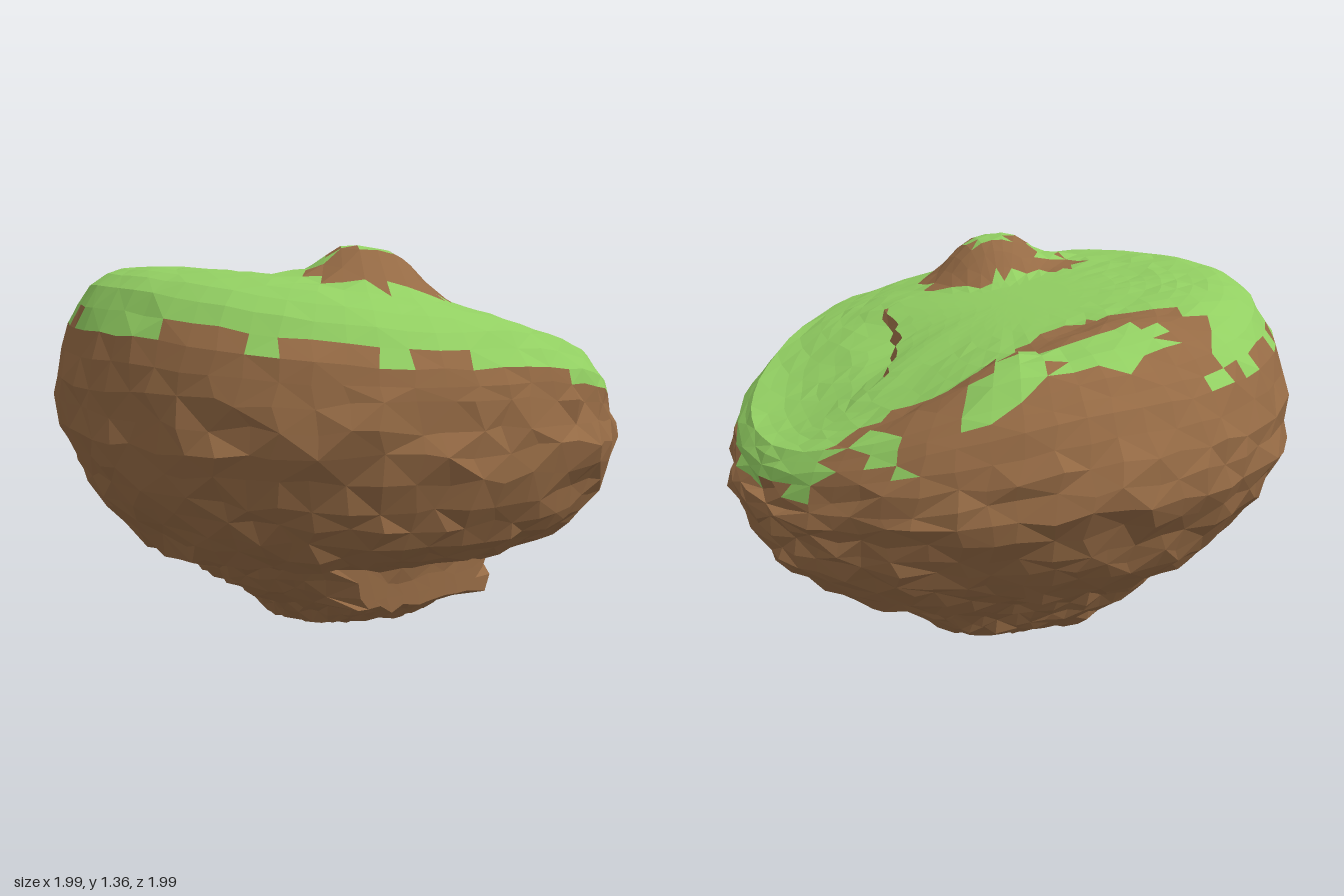
import * as THREE from 'three';

const { lerp, clamp, smoothstep } = THREE.MathUtils;
const SEG = 60, SUB = 2, TOP = 16, CRACK_RING = 9;

// Side profiles [radius, height], from the underside up to the rim, for four directions
const EAST = [[0, 0], [.15, .012], [.34, .05], [.43, .12], [.5, .22], [.74, .28], [.86, .39], [.95, .49], [.98, .58], [.995, .65], [.97, .71], [.955, .78], [.91, .835]];
const WEST = [[0, 0], [.15, .012], [.27, .05], [.33, .13], [.5, .21], [.57, .3], [.72, .34], [.84, .48], [.92, .6], [.98, .75], [.99, .92], [.95, 1.09], [.87, 1.225]];
const FRONT = [[0, 0], [.15, .012], [.33, .07], [.44, .15], [.51, .23], [.6, .33], [.75, .37], [.87, .45], [.94, .58], [.99, .75], [.975, .9], [.95, 1], [.87, 1.1]];
const BACK = [[0, 0], [.15, .012], [.38, .1], [.5, .18], [.56, .25], [.64, .34], [.74, .4], [.84, .5], [.91, .62], [.99, .78], [.97, .92], [.9, 1.06], [.82, 1.14]];
const LAST = EAST.length - 1;
const SIDE = LAST * SUB;

// Hills on the plateau: x, z, height, top radius, base radius
const HILLS = [
  [-.14, .43, .125, .06, .27], [-.32, .37, .03, .04, .13],
  [-.08, -.68, .03, .1, .25], [.1, -.68, .03, .08, .25],
  [.34, -.66, .085, .07, .22], [.52, -.6, .055, .05, .2], [.68, -.53, .03, .05, .18],
];

// Bare earth outlines on the plateau (x, z)
const BARE = [
  [[-.28, -1.1], [-.28, -.88], [-.42, -.62], [-.33, -.5], [-.1, -.44], [.15, -.41], [.3, -.48], [.45, -.45], [.55, -.36], [.73, -.33], [.84, -.42], [1.1, -.5], [.6, -1.1]],
  [[-.42, .22], [-.33, .17], [-.2, .22], [0, .23], [.08, .33], [.13, .42], [.08, .56], [-.05, .64], [-.22, .64], [-.36, .52]],
];
// Grass patches inside the bare earth: x, z, radius x, radius z, turn
const PATCHES = [
  [-.14, .43, .08, .08, 0], [-.32, .36, .06, .08, 0], [0, -.7, .2, .1, 0],
  [.35, -.69, .15, .08, 0], [.29, -.54, .17, .04, .6], [.7, -.55, .06, .13, 0],
];

const hash = (i, j, k) => {
  const s = Math.sin(i * 127.1 + (j % SEG) * 311.7 + k * 74.7) * 43758.5453;
  return (s - Math.floor(s)) * 2 - 1;
};

function inside(poly, x, z) {
  let hit = false;
  poly.forEach(([ax, az], i) => {
    const [bx, bz] = poly[(i + 1) % poly.length];
    if ((az > z) !== (bz > z) && x < ax + (bx - ax) * (z - az) / (bz - az)) hit = !hit;
  });
  return hit;
}

// Blend the four profiles at profile position k and angle a
function profile(k, a) {
  const i = Math.min(Math.floor(k), LAST - 1), f = k - i;
  const c = Math.cos(a), s = Math.sin(a);
  const parts = [[c > 0 ? EAST : WEST, c * c], [s > 0 ? FRONT : BACK, s * s]];
  return [0, 1].map(n => parts.reduce((sum, [p, w]) => sum + w * lerp(p[i][n], p[i + 1][n], f), 0));
}

// Position along the crack: 0 to 1 between its two ends
const crackPosition = a => (Math.atan2(Math.sin(a), Math.cos(a)) + .2) / 1.15;

function sidePoint(i, j, a) {
  const k = i / SUB;
  const [r, y] = profile(k, a);
  const rough = k > LAST - 2 ? .006 : .015 * Math.min(1, k / 3);
  const ledge = .4 * Math.sin(a * 5 + k * 2.3) + .3 * Math.sin(a * 9 - k * 3.1);
  const angle = a + hash(i, j, 3) * rough * 1.8;
  const R = r + rough * (hash(i, j, 1) + (k < LAST - 2 ? ledge : 0));
  const x = R * Math.cos(angle), Y = y + hash(i, j, 2) * rough;
  let z = R * Math.sin(angle);
  // Upright boulder face under the front
  if (Math.abs(x) < .28 && z > .3 && y > .17 && y < .35) z = Math.max(z, .59 - .3 * x * x);
  return [x, Y, z];
}

function topPoint(i, j, a) {
  const s = 1 - i / TOP;
  const [rimR, rimY] = profile(LAST, a);

  // Bend the rings so that one follows the crack, with a small step down outside it
  const t = crackPosition(a), u = clamp(t, 0, 1);
  const w = smoothstep(t, -.35, 0) * (1 - smoothstep(t, 1, 1.35));
  const even = 1 - CRACK_RING / TOP;
  const cr = lerp(rimR * even, .38 + .5 * (u - .5) ** 2 + .012 * Math.sin(u * 23), w);
  let r = s <= even ? cr * s / even : lerp(cr, rimR, (s - even) / (1 - even));
  if (i === CRACK_RING - 1) r = lerp(r, cr + .02, w);
  const drop = i < CRACK_RING && t > 0 && t < 1
    ? .03 * Math.sqrt(Math.sin(Math.PI * t)) * Math.max(0, 1 - (r - cr) / .2) : 0;

  const x = r * Math.cos(a), z = r * Math.sin(a);
  const height = 1.2 - .2 * x - .15 * x * x - .08 * x ** 3;
  const lift = Math.max(...HILLS.map(([hx, hz, h, r0, r1]) =>
    h * (1 - smoothstep(Math.hypot(x - hx, z - hz), r0, r1)))) * (1 - s ** 12);
  const y = lerp(height, rimY, s ** (5.5 - 3 * Math.cos(a))) - drop + lift;
  return [x, y + hash(i + 90, j, 2) * .004 * smoothstep(s, .25, .6), z];
}

function isGrass(ring, j, x, z) {
  if (ring < (LAST - 1.1 - .9 * Math.max(0, x)) * SUB + hash(3, j, 5) * .7) return false;
  const t = crackPosition(Math.atan2(z, x));
  if (ring === SIDE + CRACK_RING - 1 && t > 0 && t < 1) return false;
  if (!BARE.some(p => inside(p, x, z))) return true;
  return PATCHES.some(([px, pz, rx, rz, turn]) => {
    const dx = x - px, dz = z - pz, c = Math.cos(turn), s = Math.sin(turn);
    return ((dx * c + dz * s) / rx) ** 2 + ((dz * c - dx * s) / rz) ** 2 < 1;
  });
}

export function createModel() {
  // Rings of points from the underside, around the rim and in to the plateau centre
  const rings = [];
  for (let i = 0; i <= SIDE + TOP; i++) {
    const ring = [];
    for (let j = 0; j <= SEG; j++) {
      const a = (j % SEG) / SEG * Math.PI * 2;
      const [x, y, z] = i < SIDE ? sidePoint(i, j, a) : topPoint(i - SIDE, j, a);
      ring.push([clamp(x, -1, 1), Math.max(y, 0), clamp(z, -1, 1)]);
    }
    rings.push(ring);
  }

  // Sort the faces into earth and grass
  const earth = [], grass = [];
  const face = (i, j, a, b, c) => {
    const x = (a[0] + b[0] + c[0]) / 3, z = (a[2] + b[2] + c[2]) / 3;
    (isGrass(i, j, x, z) ? grass : earth).push(...a, ...b, ...c);
  };
  for (let i = 0; i < rings.length - 1; i++) {
    for (let j = 0; j < SEG; j++) {
      const a = rings[i][j], b = rings[i + 1][j], c = rings[i + 1][j + 1], d = rings[i][j + 1];
      if (i === 0) face(i, j, a, b, c);
      else if (i === rings.length - 2) face(i, j, a, b, d);
      else if ((i + j) % 2) {
        face(i, j, a, b, c);
        face(i, j, a, c, d);
      } else {
        face(i, j, a, b, d);
        face(i, j, b, c, d);
      }
    }
  }

  const group = new THREE.Group();
  group.name = 'floatingIsland';
  const add = (name, points, color) => {
    const geometry = new THREE.BufferGeometry();
    geometry.setAttribute('position', new THREE.Float32BufferAttribute(points, 3));
    geometry.computeVertexNormals();
    const mesh = new THREE.Mesh(geometry, new THREE.MeshStandardMaterial({ color, flatShading: true }));
    mesh.name = name;
    group.add(mesh);
  };
  add('earth', earth, 0x966b45);
  add('grass', grass, 0x92cf62);
  return group;
}
